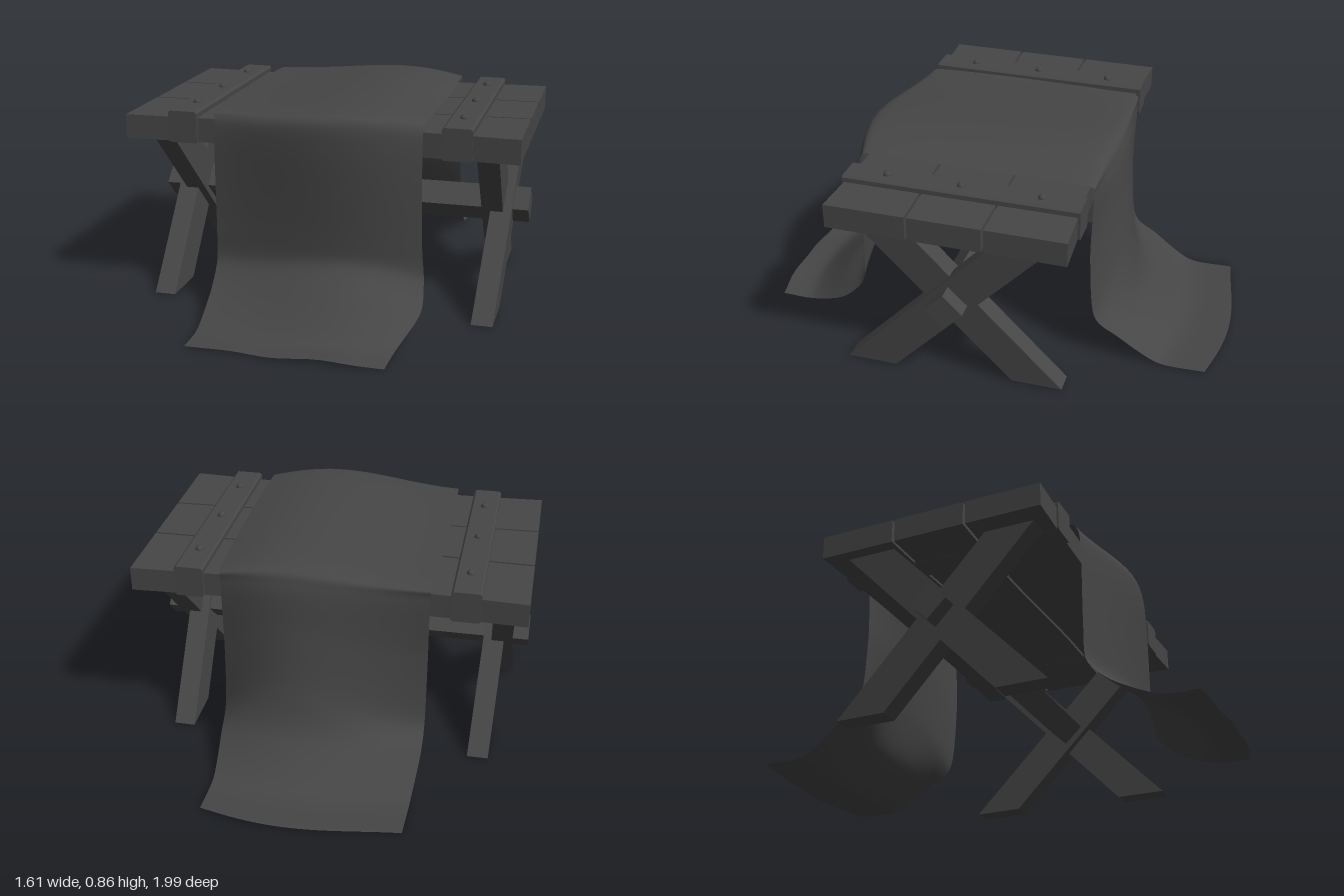
import * as THREE from 'three';

const DARK = 0x464646;
const wood = new THREE.MeshStandardMaterial({ color: DARK, flatShading: true });
const fabric = new THREE.MeshStandardMaterial({ color: DARK, side: THREE.DoubleSide });
const smooth = new THREE.MeshStandardMaterial({ color: DARK });

function add(parent, name, geometry, material = wood) {
  const mesh = new THREE.Mesh(geometry, material);
  mesh.name = name;
  parent.add(mesh);
  return mesh;
}

// Move every vertex of a geometry by a rule
function bend(geometry, rule) {
  const pos = geometry.attributes.position;
  const p = new THREE.Vector3();
  for (let i = 0; i < pos.count; i++) {
    p.fromBufferAttribute(pos, i);
    rule(p);
    pos.setXYZ(i, p.x, p.y, p.z);
  }
  geometry.computeVertexNormals();
  return geometry;
}

// Plank whose back and front edges follow z = f(x)
function plank(back, front) {
  return bend(new THREE.BoxGeometry(1.61, 0.1, 1, 10, 1, 1), p => {
    p.z = p.z < 0 ? back(p.x) : front(p.x);
    p.y += 0.74;
  });
}

// Slanted leg: parallelogram in the side plane, leaning outwards towards the top
function leg(side, footBack, topBack, inner) {
  const y0 = 0.01, y1 = 0.69, w = 0.21;
  const shape = new THREE.Shape([
    new THREE.Vector2(-footBack - w, y0), new THREE.Vector2(-footBack, y0),
    new THREE.Vector2(-topBack, y1), new THREE.Vector2(-topBack - w, y1),
  ]);
  const g = new THREE.ExtrudeGeometry(shape, { depth: 0.088, bevelEnabled: false });
  g.rotateY(Math.PI / 2);
  return bend(g, p => {
    p.x += (side > 0 ? inner : -inner - 0.088) + side * 0.046 * p.y;
  });
}

// Cloth surface from an edge line and a fuller middle line, both given as [z, y]
function cloth() {
  const mid = [[-1, 0.015], [-0.79, 0.02], [-0.62, 0.17], [-0.555, 0.36], [-0.515, 0.6], [-0.488, 0.79],
    [-0.42, 0.858], [0, 0.868], [0.45, 0.86], [0.58, 0.835], [0.597, 0.7], [0.575, 0.35],
    [0.585, 0.24], [0.7, 0.15], [0.86, 0.03], [0.99, 0.02]];
  const edge = [[-0.945, 0.012], [-0.75, 0.015], [-0.58, 0.12], [-0.475, 0.21], [-0.45, 0.5], [-0.455, 0.77],
    [-0.42, 0.82], [0, 0.825], [0.45, 0.825], [0.515, 0.805], [0.53, 0.7], [0.53, 0.35],
    [0.54, 0.2], [0.64, 0.1], [0.82, 0.015], [0.97, 0.01]];
  const left = [0.40, 0.405, 0.42, 0.42, 0.42, 0.42, 0.425, 0.438, 0.43, 0.42, 0.42, 0.42, 0.42, 0.415, 0.405, 0.40];
  const right = [0.41, 0.41, 0.42, 0.425, 0.425, 0.425, 0.43, 0.438, 0.435, 0.43, 0.43, 0.435, 0.447, 0.455, 0.395, 0.385];
  const line = (pts, xs) => new THREE.CatmullRomCurve3(
    pts.map(([z, y], i) => new THREE.Vector3(xs[i], y, z)), false, 'catmullrom', 0.4);
  const a = line(edge, left.map(x => -x)), b = line(edge, right), m = line(mid, left.map(() => 0));
  const nu = 20, nv = 120;
  const g = new THREE.PlaneGeometry(1, 1, nu, nv);
  const pos = g.attributes.position;
  for (let j = 0; j <= nv; j++) {
    // Rows run from the back hem to the front hem
    const t = j / nv;
    const A = a.getPoint(t), B = b.getPoint(t), M = m.getPoint(t);
    for (let i = 0; i <= nu; i++) {
      const s = i / nu;
      const p = A.clone().lerp(B, s);
      // The fold bulges outwards in the middle, and rises higher towards +x
      p.z = THREE.MathUtils.lerp(p.z, M.z, Math.sin(Math.PI * s ** 1.25));
      p.y = THREE.MathUtils.lerp(p.y, M.y, Math.sin(Math.PI * s ** 1.7));
      // Uneven front hem
      const hem = t ** 16;
      p.z += 0.004 * hem * Math.sin(s * 17);
      p.y += 0.004 * hem * Math.sin(s * 11);
      pos.setXYZ(j * (nu + 1) + i, p.x, Math.max(p.y, 0), p.z);
    }
  }
  g.computeVertexNormals();
  return g;
}

export function createModel() {
  const model = new THREE.Group();
  model.name = 'tableWithCloth';

  // Table top of three rough planks
  const top = new THREE.Group();
  top.name = 'tableTop';
  model.add(top);
  const flare = x => 0.018 * Math.max(0, (Math.abs(x) - 0.4) / 0.4);
  const backGap = x => -0.122 + 0.018 * Math.exp(-(((x + 0.3) / 0.25) ** 2));
  const frontGap = x => 0.187 + 0.008 * Math.sin(x * 5);
  add(top, 'backPlank', plank(x => -0.43 - flare(x), x => backGap(x) - 0.005));
  add(top, 'middlePlank', plank(x => backGap(x) + 0.005, x => frontGap(x) - 0.005));
  add(top, 'frontPlank', plank(x => frontGap(x) + 0.005, x => 0.498 + flare(x)));

  for (const side of [-1, 1]) {
    const name = side > 0 ? 'left' : 'right';

    // Batten across the planks with chamfered edges
    const c = 0.008, w = 0.06, h = 0.065;
    const section = new THREE.Shape([[-w, -h + c], [-w + c, -h], [w - c, -h], [w, -h + c],
      [w, h - c], [w - c, h], [-w + c, h], [-w, h - c]].map(q => new THREE.Vector2(...q)));
    const batten = add(model, name + 'Batten',
      new THREE.ExtrudeGeometry(section, { depth: 0.965, bevelEnabled: false }));
    batten.position.set(side * 0.56, 0.752, -0.45);

    // Round pegs in the batten
    for (const z of [-0.285, 0.04, 0.345]) {
      const peg = add(model, name + 'Peg', new THREE.SphereGeometry(0.017, 12, 8), smooth);
      peg.position.set(side * 0.56, 0.817, z);
    }

    // Crossed legs
    const legs = new THREE.Group();
    legs.name = name + 'Legs';
    model.add(legs);
    add(legs, 'outerLeg', leg(side, 0.29, -0.355, 0.632));
    add(legs, 'innerLeg', leg(side, -0.41, 0.24, 0.597));
  }

  // Stretcher: square bar set on its corner through the leg crossings
  const bar = add(model, 'stretcher', new THREE.BoxGeometry(1.61, 0.11, 0.11));
  bar.rotation.x = Math.PI / 4;
  bar.position.set(0, 0.383, 0.043);

  // Cloth draped over the top and down to the ground on both sides
  add(model, 'cloth', cloth(), fabric);
  return model;
}
